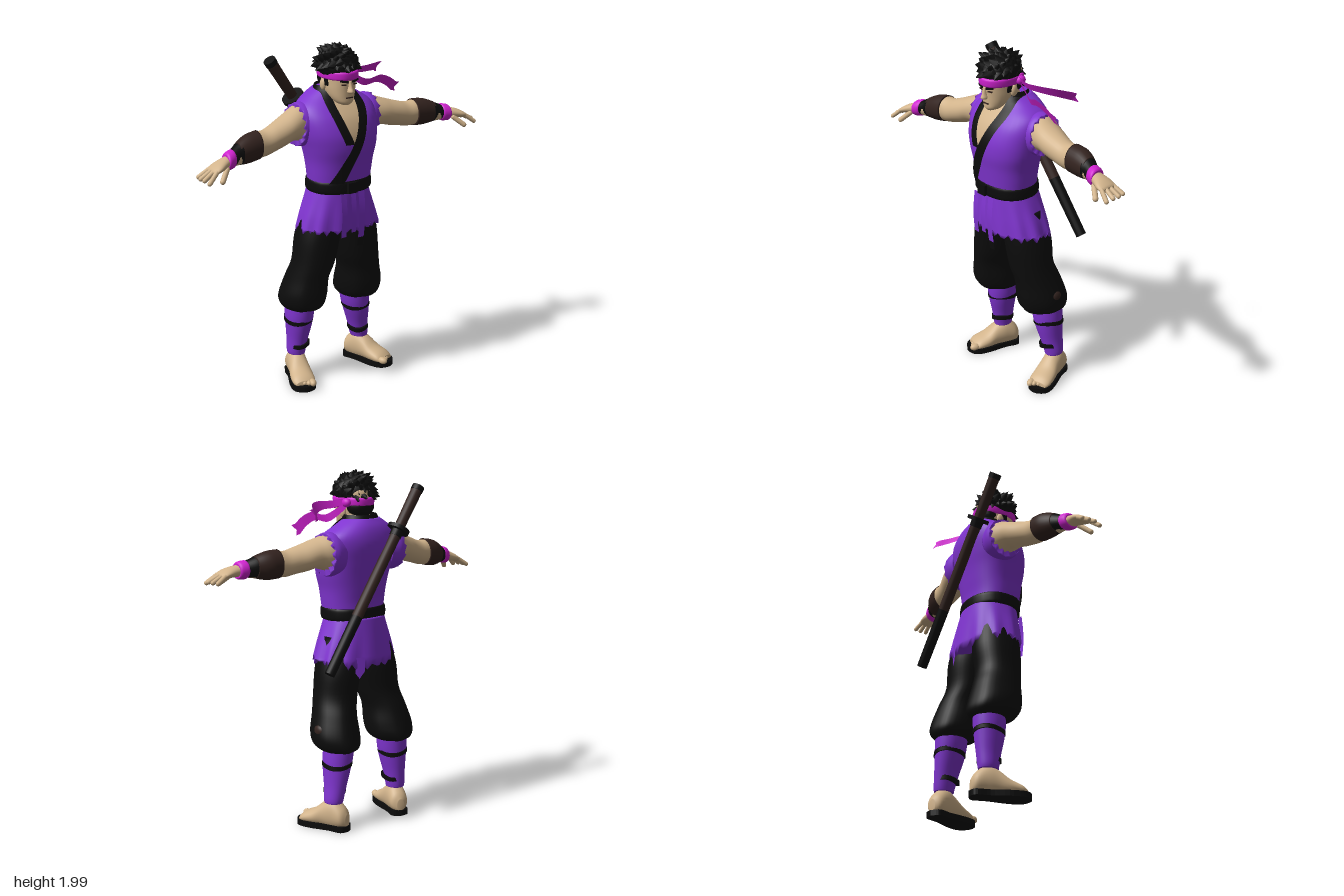
import * as THREE from 'three';

const mat = (name, color) => {
  const m = new THREE.MeshStandardMaterial({ color, side: THREE.DoubleSide });
  m.name = name;
  return m;
};
const V = (x, y, z) => new THREE.Vector3(x, y, z);

// Catmull-Rom subdivision of cross-section rows
function smooth(rows, k = 5) {
  const out = [];
  for (let i = 0; i < rows.length - 1; i++) for (let j = 0; j < k; j++) {
    const t = j / k, r = n => rows[Math.min(Math.max(n, 0), rows.length - 1)];
    out.push(rows[i].map((_, c) => {
      const [a, b, d, e] = [r(i - 1)[c], r(i)[c], r(i + 1)[c], r(i + 2)[c]];
      return b + 0.5 * t * (d - a + t * (2 * a - 5 * b + 4 * d - e + t * (3 * (b - d) + e - a)));
    }));
  }
  out.push(rows[rows.length - 1]);
  return out;
}

// Grid surface; closed ones wrap around, get end caps and are turned outward
function surface(nu, nv, f, closed = false) {
  const pos = [], idx = [], cols = closed ? nu : nu + 1;
  for (let j = 0; j <= nv; j++) for (let i = 0; i < cols; i++) pos.push(f(i / nu, j / nv, i, j));
  for (let j = 0; j < nv; j++) for (let i = 0; i < nu; i++) {
    const a = j * cols + i, b = j * cols + (i + 1) % cols;
    idx.push([a, b, b + cols], [a, b + cols, a + cols]);
  }
  if (closed) {
    for (const j of [0, nv]) {
      const c = V(0, 0, 0);
      for (let i = 0; i < cols; i++) c.addScaledVector(pos[j * cols + i], 1 / cols);
      pos.push(c);
      for (let i = 0; i < cols; i++) {
        const a = j * cols + i, b = j * cols + (i + 1) % cols, m = pos.length - 1;
        idx.push(j ? [a, b, m] : [b, a, m]);
      }
    }
    let vol = 0;
    for (const [a, b, c] of idx) vol += pos[a].dot(V(0, 0, 0).crossVectors(pos[b], pos[c]));
    if (vol < 0) idx.forEach(t => t.reverse());
  }
  const g = new THREE.BufferGeometry().setFromPoints(pos);
  g.setIndex(idx.flat());
  g.computeVertexNormals();
  return g;
}

// Rows are [position on axis, centre a, centre b, radius a, radius b]
function loft(axis, rows, { seg = 28, k = 5, power = 2, warp } = {}) {
  const R = smooth(rows, k), n = R.length - 1;
  const sp = c => Math.sign(c) * Math.abs(c) ** (2 / power);
  return surface(seg, n, (u, v, i, j) => {
    const [p, a, b, ra, rb] = R[j], q = u * Math.PI * 2;
    const A = a + ra * sp(Math.cos(q)), B = b + rb * sp(Math.sin(q));
    const pt = axis === 'x' ? V(p, A, B) : axis === 'y' ? V(A, p, B) : V(A, B, p);
    if (warp) warp(pt, q, v, i);
    return pt;
  }, true);
}

export function createModel() {
  const root = new THREE.Group();
  root.name = 'swordsman';
  const skin = mat('skin', 0xd2b48c), purple = mat('purple cloth', 0x8035d0), black = mat('black cloth', 0x0c0c0c);
  const brown = mat('dark brown leather', 0x33231f), pink = mat('magenta cloth', 0xd022d0);
  const add = (name, geo, m, parent = root) => {
    const o = new THREE.Mesh(geo, m);
    o.name = name;
    parent.add(o);
    return o;
  };
  const between = (name, geo, a, b, m) => {
    const o = add(name, geo, m);
    o.position.copy(a).lerp(b, 0.5);
    o.quaternion.setFromUnitVectors(V(0, 1, 0), b.clone().sub(a).normalize());
    return o;
  };
  const rod = (name, a, b, r0, r1, m) => between(name, new THREE.CylinderGeometry(r1, r0, a.distanceTo(b), 16), a, b, m);
  const finger = (name, a, b, r) => between(name, new THREE.CapsuleGeometry(r, a.distanceTo(b), 4, 10), a, b, skin);
  const ball = (name, p, s, m, parent) => {
    const o = add(name, new THREE.SphereGeometry(1, 20, 14), m, parent);
    o.position.set(...p);
    o.scale.set(...s);
    return o;
  };
  const box = (name, p, s, m, ry = 0, rz = 0) => {
    const o = add(name, new THREE.BoxGeometry(...s), m);
    o.position.set(...p);
    o.rotation.set(0, ry, rz);
    return o;
  };

  // Vest body
  const torso = [[1.17, 0, .04, .175, .14], [1.26, 0, .045, .186, .147], [1.34, 0, .045, .196, .158], [1.42, 0, .045, .215, .17],
    [1.5, -.005, .035, .232, .175], [1.58, -.005, .015, .242, .165], [1.64, -.005, -.005, .228, .14],
    [1.69, -.01, -.02, .165, .11], [1.73, -.015, -.02, .1, .085]];
  const power = 2.3;
  add('vest', loft('y', torso, { power, seg: 40 }), purple);
  const dense = smooth(torso, 8);
  const frontZ = (x, y) => {
    let i = 0;
    while (i < dense.length - 2 && dense[i + 1][0] < y) i++;
    const t = Math.min(1, (y - dense[i][0]) / (dense[i + 1][0] - dense[i][0]));
    const [, cx, cz, rx, rz] = dense[i].map((d, c) => d + (dense[i + 1][c] - d) * t);
    return cz + rz * Math.max(0, 1 - Math.abs((x - cx) / rx) ** power) ** (1 / power);
  };

  // Chest opening and lapels lie on the vest front; rows are [y, left x, right x]
  const patch = (name, rows, lift, m) => {
    const R = smooth(rows, 6);
    add(name, surface(8, R.length - 1, (u, v, i, j) => {
      const [y, x0, x1] = R[j], x = x0 + (x1 - x0) * u;
      return V(x, y, frontZ(x, y) + lift);
    }), m);
  };
  patch('chest', [[1.73, -.08, .06], [1.65, -.09, .06], [1.55, -.08, .03], [1.45, -.045, -.01]], .005, skin);
  patch('underLapel', [[1.74, -.115, -.07], [1.65, -.13, -.08], [1.55, -.112, -.06], [1.45, -.075, -.02]], .01, black);
  patch('overLapel', [[1.74, .05, .09], [1.65, .05, .11], [1.55, .015, .075], [1.45, -.03, .035], [1.35, -.083, -.012], [1.23, -.145, -.07]], .014, black);
  add('collar', surface(30, 4, (u, v) => {
    const q = (u - .5) * 4.5, r = 1 - .25 * v;
    return V(-.015 + .128 * r * Math.sin(q), 1.675 + .075 * v, -.005 - .115 * r * Math.cos(q));
  }), black);

  // Belt, skirt and hanging tails
  add('belt', loft('y', [[1.165, 0, .04, .18, .148], [1.18, 0, .04, .188, .154], [1.22, 0, .04, .188, .154], [1.235, 0, .04, .182, .15]], { power }), black);
  box('beltKnot', [-.02, 1.2, .195], [.06, .06, .03], black);
  add('skirt', loft('y', [[1.18, 0, .03, .172, .145], [1.1, .005, .025, .2, .152], [1.02, .01, .02, .228, .158], [.945, .015, .015, .25, .162]], {
    seg: 64, power,
    warp: (p, q, v, i) => {
      const f = 1 + .035 * v * Math.sin(11 * q);
      p.x *= f;
      p.z *= f;
      const rear = Math.max(0, -Math.sin(q));
      if (v > .99) p.y += .018 * Math.sin(i * 2.4) - .03 * rear;
    } }), purple);
  for (const [x, w, low] of [[-.075, .035, .92], [.045, .04, .9], [-.01, .032, .94]]) {
    const strip = (name, y0, y1, m) => add(name, surface(2, 6, (u, v) => {
      const y = y0 + (y1 - y0) * v, d = 1.17 - y;
      return V(x + (u - .5) * w, y, .196 + .012 * Math.sin(d * 12));
    }), m);
    strip('beltTail', 1.17, low, purple);
    if (x > 0) strip('beltTailTip', low, .85, black);
  }
  add('rearFlap', surface(6, 4, (u, v) => V(.24 - .17 * u, .97 - (.1 - .02 * Math.cos(u * 19)) * v, -.05 - .1 * u ** .6)), purple);

  // Legs, pants and feet
  for (const s of [-1, 1]) {
    const leg = rows => rows.map(([y, x, ...r]) => [y, s * x + (s > 0 ? .02 + Math.max(0, .45 - y) * .12 : 0), ...r]);
    add('pantLeg', loft('y', leg([[1.08, .085, .02, .11, .12], [.9, .118, .005, .125, .138], [.75, .143, 0, .122, .13], [.65, .17, -.025, .119, .137],
      [.55, .183, -.045, .132, .15], [.49, .184, -.06, .125, .148], [.455, .183, -.075, .098, .12], [.445, .183, -.08, .07, .08]]), {
      seg: 36, warp: (p, q, v) => { p.z += .006 * Math.sin(6 * q) * v; } }), black);
    add('shinWrap', loft('y', leg([[.48, .183, -.085, .085, .092], [.4, .187, -.085, .083, .09], [.33, .19, -.088, .073, .083], [.25, .195, -.095, .06, .07],
      [.18, .2, -.1, .054, .06], [.155, .2, -.1, .05, .056]])), purple);
    for (const [y, rx, rz] of [[.37, .082, .09], [.215, .06, .068]])
      add('shinStrap', loft('y', leg([[y - .012, .189, -.088, rx, rz], [y + .012, .189, -.088, rx, rz]]), {
        warp: (p, q) => { p.y += .008 * Math.sin(2 * q); } }), black);

    const foot = new THREE.Group();
    foot.name = 'foot';
    foot.position.set(s > 0 ? .258 : -.2, 0, -.1);
    foot.rotation.y = s * .33;
    root.add(foot);
    add('footTop', loft('z', [[-.095, .065, .06, .02, .035].map((v, i) => i === 1 ? 0 : v), [-.07, 0, .075, .05, .06], [-.01, 0, .09, .056, .088], [.05, 0, .08, .058, .075],
      [.11, 0, .058, .066, .05], [.17, 0, .045, .066, .034], [.2, 0, .035, .05, .02]]), skin, foot);
    for (let i = 0; i < 5; i++) {
      const r = i ? .015 : .021;
      ball('toe', [s * (-.043 + i * .023), .042, .2 - i * i * .0035], [r, r, r * 1.5], skin, foot);
    }
    const outline = new THREE.Shape();
    outline.setFromPoints(new THREE.SplineCurve([[0, -.105], [.05, -.08], [.052, 0], [.07, .12], [.06, .2], [0, .232], [-.06, .2], [-.07, .12], [-.052, 0], [-.05, -.08], [0, -.105]]
      .map(p => new THREE.Vector2(p[0], -p[1]))).getPoints(50));
    add('sandalSole', new THREE.ExtrudeGeometry(outline, { depth: .032, bevelEnabled: false }), black, foot).rotation.x = -Math.PI / 2;
  }
  ball('kneePatch', [.312, .57, -.05], [.024, .035, .04], brown);

  // Arms, bracers and hands
  for (const s of [-1, 1]) {
    const drop = x => s > 0 ? 0 : -.11 * Math.max(0, x - .25);
    const arm = rows => rows.map(([x, y, ...r]) => [s * x, y + drop(x), ...r]);
    const P = (x, y, z) => V(s * x, y + drop(x), z);
    add('arm', loft('x', arm([[.14, 1.55, -.02, .09, .08], [.23, 1.555, -.015, .098, .095], [.3, 1.553, .005, .08, .09], [.36, 1.538, .015, .076, .085],
      [.42, 1.525, .025, .072, .075], [.48, 1.513, .03, .07, .068], [.54, 1.517, .035, .073, .064], [.6, 1.512, .04, .07, .06], [.72, 1.497, .08, .038, .038]])), skin);
    add('sleeveEdge', loft('x', [[s * .16, 1.545, -.015, .11, .1], [s * .215, 1.545, -.015, .122, .112], [s * .25, 1.545, -.015, .116, .106]], {
      seg: 40, warp: (p, q, v, i) => { if (v > .99) p.x += s * .014 * Math.sin(i * 2.1); } }), purple);
    add('bracer', loft('x', arm([[.525, 1.517, .035, .078, .069], [.58, 1.514, .038, .078, .068], [.62, 1.511, .045, .071, .062], [.66, 1.508, .056, .058, .052]])), brown);
    add('bracerEnd', loft('x', arm([[.645, 1.508, .054, .062, .055], [.67, 1.506, .06, .053, .05], [.705, 1.5, .074, .044, .044]])), black);
    add('wristband', loft('x', arm([[.7, 1.5, .074, .044, .044], [.71, 1.499, .076, .05, .049], [.74, 1.496, .084, .048, .049], [.75, 1.494, .087, .04, .042]])), pink);
    add('palm', loft('x', arm([[.73, 1.496, .083, .032, .036], [.77, 1.492, .093, .03, .045], [.81, 1.485, .1, .025, .055], [.84, 1.476, .102, .018, .053], [.85, 1.473, .102, .01, .04]])), skin);
    for (let i = 0; i < 4; i++) {
      const o = i - 1.5, reach = .903 - Math.abs(o) * .008;
      finger('finger', P(.835, 1.477, .102 + o * .027), P(reach, 1.446 - (i === 3 ? .01 : 0), .105 + o * .038), .0125);
    }
    finger('thumb', P(.765, 1.47, .125), P(.815, 1.425, .162), .0145);
  }

  // Neck, head and face
  const hx = -.02;
  add('neck', loft('y', [[1.6, -.015, 0, .11, .09], [1.68, -.016, .01, .082, .075], [1.76, hx, .04, .074, .075]]), skin);
  add('head', loft('y', [[1.655, hx, .125, .02, .03], [1.67, hx, .11, .048, .058], [1.7, hx, .09, .068, .08], [1.74, hx, .07, .08, .103],
    [1.78, hx, .062, .084, .115], [1.83, hx, .06, .086, .12], [1.88, hx, .06, .083, .115], [1.93, hx, .06, .05, .07]], { power: 2.2 }), skin);
  add('nose', loft('y', [[1.722, hx, .175, .008, .012], [1.732, hx, .178, .017, .025], [1.755, hx, .174, .011, .02], [1.79, hx, .172, .008, .01]], { seg: 12 }), skin);
  box('mouth', [hx, 1.698, .17], [.042, .006, .008], brown);
  for (const s of [-1, 1]) {
    box('eyebrow', [hx + s * .036, 1.79, .174], [.046, .011, .009], black, s * .3, s * .18);
    box('eye', [hx + s * .036, 1.771, .17], [.026, .007, .009], brown, s * .3);
    ball('ear', [hx + s * .086, 1.762, .045], [.014, .032, .022], skin);
    box('sideburn', [hx + s * .083, 1.785, .075], [.012, .05, .03], black);
  }

  // Hair: a cap with swept pointed tufts
  const hc = V(-.025, 1.865, .065), hr = V(.104, .1, .122);
  ball('hairCap', hc.toArray(), hr.toArray(), black);
  ball('backHair', [hx, 1.79, .005], [.083, .065, .075], black);
  for (let i = 0; i < 90; i++) {
    const ny = 1 - i / 89 * 1.3, q = i * 2.39996, w = Math.sqrt(1 - ny * ny);
    const n = V(w * Math.cos(q), ny, w * Math.sin(q));
    if (ny < -.12 && n.z > -.1) continue;
    const base = n.clone().multiply(hr).multiplyScalar(.82).add(hc);
    const tip = n.clone().multiply(hr).multiplyScalar(1.13 + .07 * Math.sin(i * 1.7)).add(hc);
    tip.add(V(-.012 + .018 * Math.sin(i * 3.1), ny < .3 ? -.012 : .006, .014 * Math.cos(i * 2.3)));
    tip.y = Math.min(tip.y, 2);
    between('hairTuft', new THREE.ConeGeometry(.033, base.distanceTo(tip), 7), base, tip, black);
  }

  // Headband with two trailing ribbons
  add('headband', loft('y', [[1.795, hx, .06, .089, .124], [1.803, hx, .06, .095, .131], [1.832, hx, .06, .097, .133], [1.842, hx, .06, .09, .126]], { power: 2.2 }), pink);
  ball('headbandKnot', [.075, 1.815, .005], [.022, .025, .03], pink);
  const ribbon = (pts, width) => {
    const c = new THREE.CatmullRomCurve3(pts.map(p => V(...p)));
    add('ribbon', surface(4, 32, (u, v) => {
      const p = c.getPoint(v), h = (u - .5) * width * (.6 + .6 * v);
      const notch = v > .99 ? .02 * Math.abs(u - .5) * 2 : 0;
      return p.add(V(h * .25 + notch, h, h * .5));
    }), pink);
  };
  ribbon([[.06, 1.825, .01], [.15, 1.81, .03], [.24, 1.81, .02], [.32, 1.8, -.03], [.375, 1.775, -.11]], .05);
  ribbon([[.06, 1.815, .01], [.13, 1.765, .02], [.19, 1.735, .04], [.26, 1.75, .06], [.33, 1.725, .055], [.385, 1.685, .045]], .045);

  // Sword slung across the back
  const top = V(-.33, 1.885, -.132), end = V(.357, .925, -.2), at = t => top.clone().lerp(end, t);
  rod('swordHandle', at(0), at(.225), .033, .029, brown);
  rod('pommel', at(-.005), at(.02), .035, .035, black);
  rod('swordGuard', at(.222), at(.24), .064, .064, black);
  rod('scabbardMouth', at(.24), at(.27), .036, .034, black);
  rod('scabbardUpper', at(.27), at(.7), .031, .031, brown);
  rod('scabbardLower', at(.7), at(1), .031, .029, black);
  return root;
}
